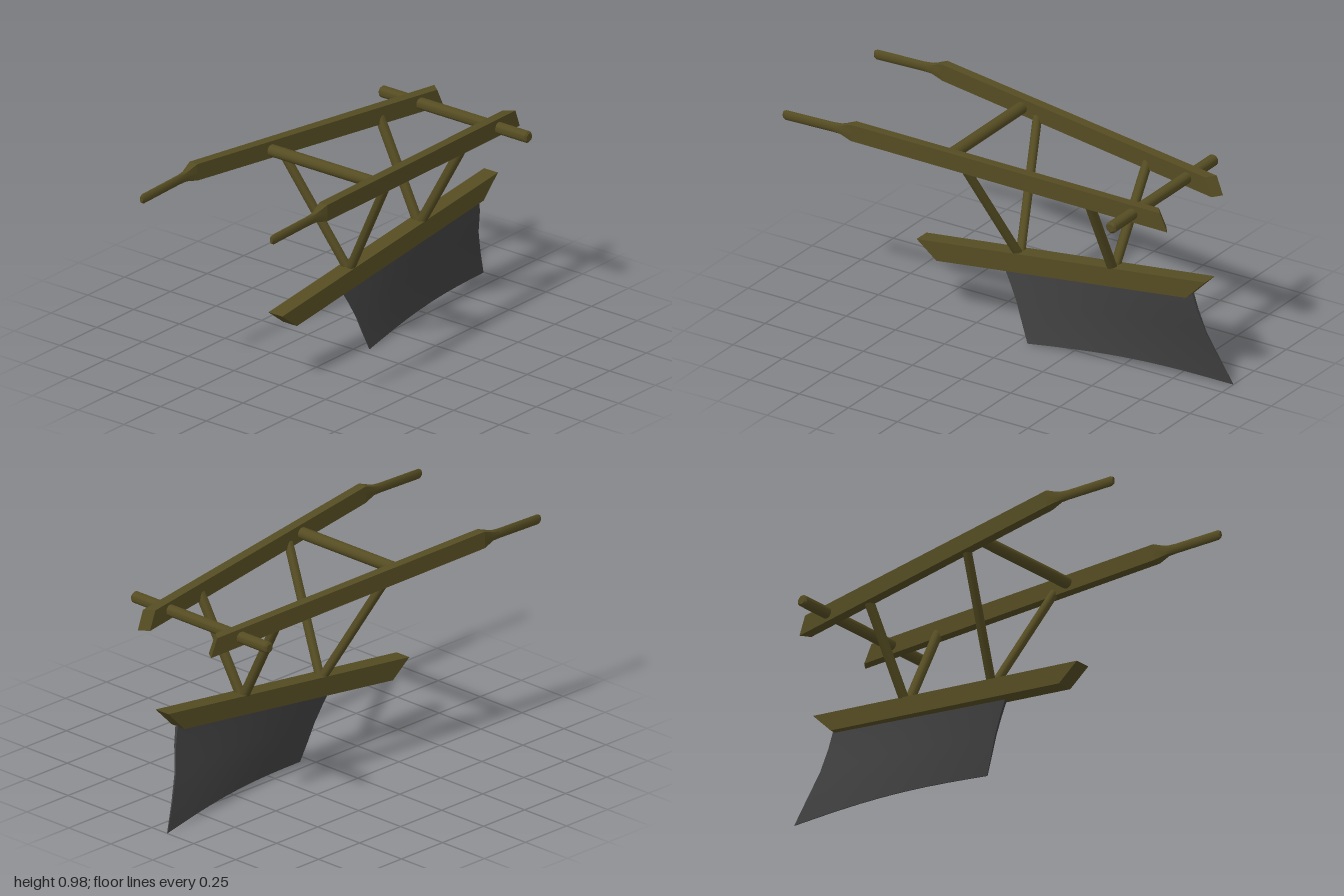
import * as THREE from 'three';
import { toCreasedNormals } from 'three/addons/utils/BufferGeometryUtils.js';

const V = (x, y, z) => new THREE.Vector3(x, y, z);

// Closed loft through rings running towards +z, each ring counter-clockwise seen from +z
function loft(rings, crease = 0.6) {
  const pos = [];
  const quad = (a, b, c, d) => [a, b, c, a, c, d].forEach((p) => pos.push(p.x, p.y, p.z));
  const n = rings[0].length;
  for (let i = 0; i < rings.length - 1; i++) {
    for (let j = 0; j < n; j++) {
      const k = (j + 1) % n;
      quad(rings[i][j], rings[i][k], rings[i + 1][k], rings[i + 1][j]);
    }
  }
  const first = rings[0], last = rings[rings.length - 1];
  for (let j = 0; j < n / 2 - 1; j++) {
    quad(last[j], last[j + 1], last[n - 2 - j], last[n - 1 - j]);
    quad(first[n - 1 - j], first[n - 2 - j], first[j + 1], first[j]);
  }
  const g = new THREE.BufferGeometry();
  g.setAttribute('position', new THREE.Float32BufferAttribute(pos, 3));
  return toCreasedNormals(g, crease);
}

// Mirror a set of rings to the other side while keeping the winding
const mirrored = (rings, s) =>
  s > 0 ? rings : rings.map((r) => r.map((p) => V(-p.x, p.y, p.z)).reverse());

export function createModel() {
  const model = new THREE.Group();
  model.name = 'plough';
  const wood = new THREE.MeshStandardMaterial({ color: 0x554c22 });
  wood.name = 'wood';
  const iron = new THREE.MeshStandardMaterial({ color: 0x404040 });
  iron.name = 'iron';

  const add = (name, geometry, material) => {
    const m = new THREE.Mesh(geometry, material);
    m.name = name;
    model.add(m);
    return m;
  };

  // Round pole between two points, with bevelled ends
  const pole = (name, a, b, r, bevel = 0.008) => {
    const h = a.distanceTo(b) / 2;
    const profile = [[0, -h], [r - bevel, -h], [r, -h + bevel], [r, h - bevel], [r - bevel, h], [0, h]];
    const g = new THREE.LatheGeometry(profile.map(([x, y]) => new THREE.Vector2(x, y)), 16);
    const m = add(name, toCreasedNormals(g, 0.6), wood);
    m.position.copy(a).add(b).multiplyScalar(0.5);
    m.quaternion.setFromUnitVectors(V(0, 1, 0), b.clone().sub(a).normalize());
  };

  // Main beam with slanted ends
  const w = 0.038;
  const beamRing = (yb, zb, yt, zt) => [V(w, yb, zb), V(w, yt, zt), V(-w, yt, zt), V(-w, yb, zb)];
  add('beam', loft([beamRing(0.422, -0.84, 0.52, -0.938), beamRing(0.263, 0.43, 0.34, 0.53)]), wood);

  // Handles, grips and struts on both sides
  const handleX = (z) => 0.355 - 0.105 * (0.65 - z);
  for (const s of [1, -1]) {
    const side = s > 0 ? 'left' : 'right';
    const corner = (dx, y, z) => V(handleX(z) + dx, y, z);
    const rails = [
      [corner(0.022, 0.81, -0.862), corner(0.022, 0.893, -0.828),
        corner(-0.024, 0.893, -0.795), corner(-0.024, 0.81, -0.832)],
      [corner(0.022, 0.91, 0.645), corner(0.022, 0.986, 0.645),
        corner(-0.022, 0.986, 0.645), corner(-0.022, 0.91, 0.645)],
    ];
    add(side + 'Handle', loft(mirrored(rails, s)), wood);

    // Grip: square shoulder blending into an oval bar [z, centre y, half width, half height, squareness]
    const grip = [
      [0.644, 0.948, 0.022, 0.038, 1],
      [0.705, 0.943, 0.014, 0.025, 0.3],
      [0.75, 0.941, 0.0125, 0.0225, 0],
      [0.988, 0.934, 0.0125, 0.0225, 0],
      [1.0, 0.934, 0.008, 0.016, 0],
    ].map(([z, y, rx, ry, sq]) => Array.from({ length: 12 }, (_, j) => {
      const a = ((j + 0.5) / 12) * Math.PI * 2;
      const c = Math.cos(a), d = Math.sin(a);
      const k = 1 + sq * (1 / Math.max(Math.abs(c), Math.abs(d)) - 1);
      return V(0.355 + c * k * rx, y + d * k * ry, z);
    }));
    add(side + 'Grip', loft(mirrored(grip, s)), wood);

    pole(side + 'FrontStrut', V(0, 0.375, 0.028), V(s * 0.293, 0.9, 0.13), 0.02);
    pole(side + 'RearStrut', V(0, 0.43, -0.448), V(s * 0.236, 0.87, -0.47), 0.022);
  }

  // Cross bars
  pole('frontCrossBar', V(-0.29, 0.918, 0.205), V(0.29, 0.918, 0.205), 0.027);
  pole('rearCrossBar', V(-0.405, 0.861, -0.695), V(0.405, 0.861, -0.695), 0.026);

  // Twisted blade: rear edge, front edge and sagging bottom, each as [x, y, z] from bottom to top
  const rear = [[-0.09, 0.003, -0.997], [-0.066, 0.12, -0.945], [-0.038, 0.24, -0.895], [-0.012, 0.35, -0.87], [0, 0.445, -0.848]];
  const front = [[0.053, 0.003, -0.045], [0.042, 0.09, -0.01], [0.033, 0.17, 0.02], [0.022, 0.25, 0.06], [0.012, 0.32, 0.1]];
  const blade = [];
  for (let i = 0; i <= 9; i++) {
    const t = i / 9;
    const at = (j, sgn) => {
      const p = V(...rear[j]).lerp(V(...front[j]), t);
      const v = j / 4;
      p.y += (1 - v) * 0.027 * Math.sin(Math.PI * t);
      p.x += sgn * (0.002 + 0.005 * v);
      return p;
    };
    const rows = [0, 1, 2, 3, 4];
    blade.push([...rows.map((j) => at(j, 1)), ...rows.reverse().map((j) => at(j, -1))]);
  }
  add('blade', loft(blade), iron);

  return model;
}
